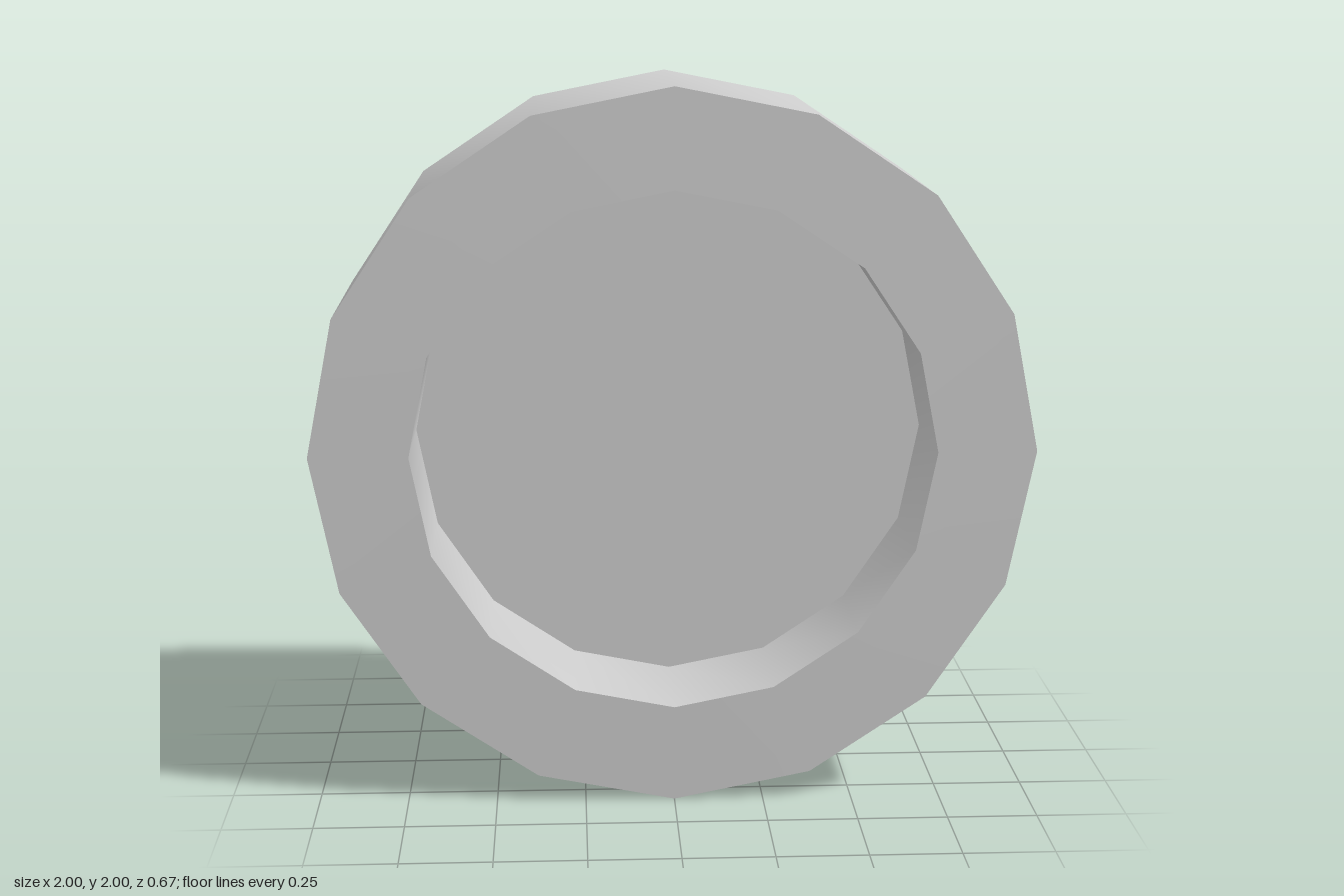
import * as THREE from 'three';
import { toCreasedNormals } from 'three/addons/utils/BufferGeometryUtils.js';

const SIDES = 16;
const BACK = -0.337;
const FRONT_OUTER = 0.33; // front ring rises very slightly towards the hole
const FRONT_INNER = 0.337;
const FLOOR = -0.015;
const OUTER_RADIUS = 1;
const HOLE_RADIUS = 0.725;

// Revolves a [radius, z] profile around the z axis, keeping its corners sharp
function turned(name, profile, material) {
  const points = profile.map(([r, z]) => new THREE.Vector2(r, z));
  const geometry = new THREE.LatheGeometry(points, SIDES).rotateX(Math.PI / 2);
  const mesh = new THREE.Mesh(toCreasedNormals(geometry, 0.6), material);
  mesh.name = name;
  return mesh;
}

export function createModel() {
  const group = new THREE.Group();
  group.name = 'recessedDisc';
  const material = new THREE.MeshStandardMaterial({ color: 0xcccccc });

  // Closed back, outer wall and front ring
  group.add(turned('outerShell', [
    [0, BACK], [OUTER_RADIUS, BACK], [OUTER_RADIUS, FRONT_OUTER], [HOLE_RADIUS, FRONT_INNER],
  ], material));

  // Round recess: inner wall and flat floor
  group.add(turned('recess', [
    [HOLE_RADIUS, FRONT_INNER], [HOLE_RADIUS, FLOOR], [0, FLOOR],
  ], material));

  group.position.y = OUTER_RADIUS;
  return group;
}
